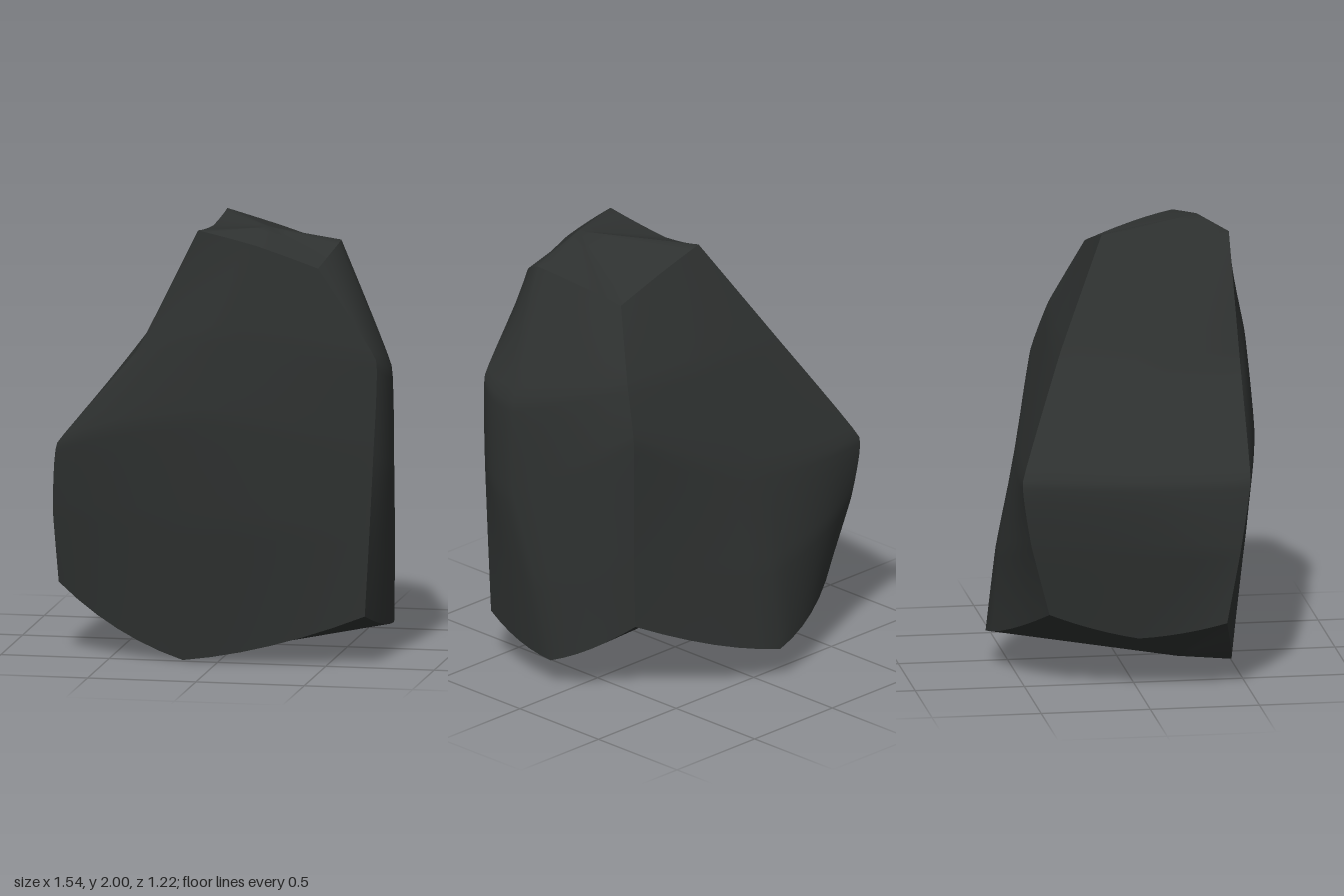
import * as THREE from 'three';
import { mergeVertices } from 'three/addons/utils/BufferGeometryUtils.js';

// Eight upright edge and mid-face lines, bottom to top, counterclockwise from the front right corner.
const columns = [
  [[-0.755, 0.33, 0.39], [-0.77, 0.67, 0.45], [-0.74, 0.99, 0.5], [-0.37, 1.43, 0.51], [-0.09, 1.99, 0.5]],
  [[-0.16, 0.01, 0.5], [-0.06, 0.66, 0.58], [-0.06, 1.15, 0.61], [0, 1.53, 0.58], [0.18, 1.93, 0.51]],
  [[0.68, 0.24, 0.5], [0.7, 0.6, 0.5], [0.72, 1.0, 0.5], [0.73, 1.42, 0.49], [0.46, 1.83, 0.48]],
  [[0.73, 0.14, 0.07], [0.75, 0.5, 0.15], [0.77, 0.9, 0.27], [0.76, 1.36, 0.28], [0.54, 1.94, 0.34]],
  [[0.57, 0.37, -0.31], [0.58, 0.7, -0.31], [0.58, 1.28, -0.31], [0.54, 1.53, -0.23], [0.43, 1.84, -0.08]],
  [[-0.06, 0.16, -0.61], [-0.04, 0.55, -0.56], [0, 1.0, -0.46], [0.1, 1.5, -0.29], [0.18, 1.92, -0.08]],
  [[-0.6, 0.36, -0.4], [-0.64, 0.7, -0.49], [-0.65, 1.0, -0.53], [-0.34, 1.52, -0.31], [-0.07, 1.99, -0.08]],
  [[-0.66, 0.25, 0.0], [-0.75, 0.67, 0.15], [-0.74, 0.99, 0.05], [-0.39, 1.46, 0.1], [-0.09, 1.95, 0.15]],
].map((pts) => new THREE.CatmullRomCurve3(pts.map((p) => new THREE.Vector3(...p)), false, 'catmullrom', 0.15));

// Point on one of the four sides: halfway between a parabola and straight lines across its three columns
function sidePoint(side, u, v) {
  const at = (k) => columns[(side * 2 + k) % 8].getPoint(v);
  const first = ((1 - u) * (1 - 2 * u) + Math.max(0, 1 - 2 * u)) / 2;
  const last = (u * (2 * u - 1) + Math.max(0, 2 * u - 1)) / 2;
  return at(0).multiplyScalar(first)
    .addScaledVector(at(1), 1 - first - last)
    .addScaledVector(at(2), last);
}

// Point on the closed outline at height v
function ringPoint(u, v) {
  const s = (u % 1) * 4;
  return sidePoint(Math.floor(s), s % 1, v);
}

// Smooth sheet whose vertices follow a rule f(u, v)
function sheet(f, nu, nv) {
  let geo = new THREE.PlaneGeometry(1, 1, nu, nv);
  const pos = geo.attributes.position;
  for (let i = 0; i < pos.count; i++) {
    const p = f(pos.getX(i) + 0.5, pos.getY(i) + 0.5);
    pos.setXYZ(i, p.x, p.y, p.z);
  }
  geo.deleteAttribute('uv');
  geo.deleteAttribute('normal');
  geo = mergeVertices(geo, 1e-5);
  geo.computeVertexNormals();
  return geo;
}

export function createModel() {
  const group = new THREE.Group();
  group.name = 'rock';
  const stone = new THREE.MeshStandardMaterial({ color: 0x2e3130 });
  const add = (name, geo) => {
    const mesh = new THREE.Mesh(geo, stone);
    mesh.name = name;
    group.add(mesh);
  };

  // Four gently bulging sides, creased where they meet
  ['frontFace', 'leftFace', 'backFace', 'rightFace'].forEach((name, side) =>
    add(name, sheet((u, v) => sidePoint(side, u, v), 12, 24)));

  // Caps close the outline towards a centre point
  const topCentre = new THREE.Vector3(0.22, 2.0, 0.4);
  const bottomCentre = new THREE.Vector3(-0.05, 0.005, 0.27);
  add('topFace', sheet((u, v) => ringPoint(u, 1).lerp(topCentre, v), 48, 4));
  add('bottomFace', sheet((u, v) => ringPoint(u, 0).lerp(bottomCentre, 1 - v), 48, 4));
  return group;
}
